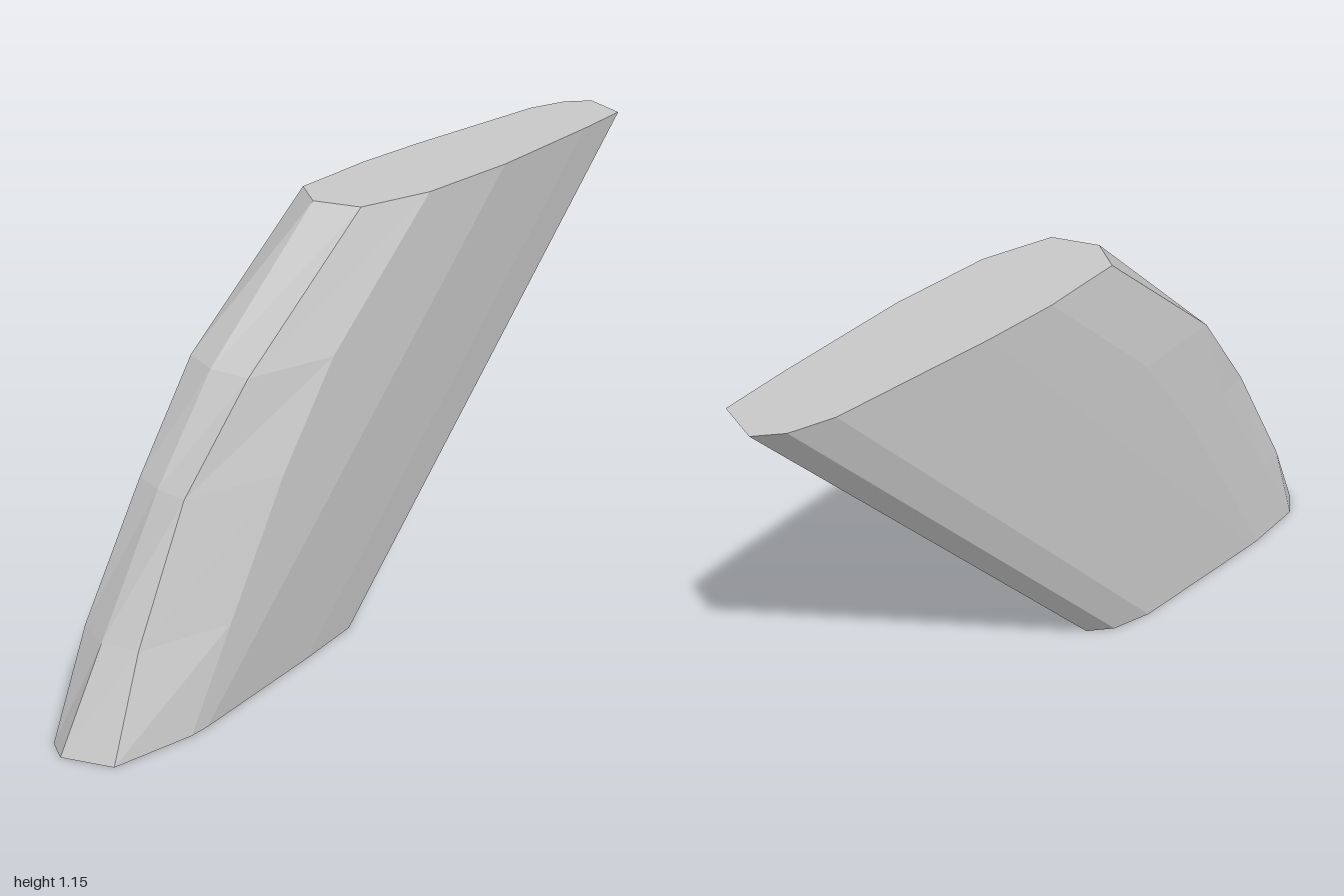
import * as THREE from 'three';

// Heights of the cross-sections, with the front crest's z at each
const levels = [0, 0.25, 0.58, 0.83, 1.155];
const crestZ = [1, 0.855, 0.66, 0.48, 0.13];

// Front seams on each side: x, and distance behind the crest
const leftSeam = [[0.098, 0.06], [0.07, 0.03], [0.06, 0.005], [0.08, 0.02], [0.09, 0.045]];
const rightSeam = [[-0.08, 0.025], [-0.115, 0.025], [-0.105, 0.015], [-0.12, 0.025], [-0.117, 0.06]];

// Rear outline [x, z] at the base, from the left flank round to the right;
// it slides straight back with height
const rear = [
  [0.137, 0.68], [0.102, 0.3], [0.08, 0.12],
  [-0.04, 0.08], [-0.09, 0.14], [-0.12, 0.25], [-0.138, 0.7],
];
const lean = 1.08 / 1.155;

// One closed cross-section, counter-clockwise from above
function section(i) {
  const y = levels[i], z = crestZ[i], t = y / 1.155;
  const [lx, ld] = leftSeam[i];
  const [rx, rd] = rightSeam[i];
  return [
    [-0.025, z],
    [lx, z - ld],
    [0.137, z - 0.27 + 0.03 * t],
    ...rear.map(([x, rz]) => [x, rz - y * lean]),
    [-0.138, z - 0.27 - 0.03 * t],
    [Math.min(-0.125, rx - 0.008), z - 0.09 - 0.07 * t],
    [rx, z - rd],
  ].map(([x, pz]) => [x, y, pz]);
}

// Skin the cross-sections and close both ends with fans
function loft(rings) {
  const n = rings[0].length, last = rings.length - 1;
  const positions = rings.flat(2);
  const index = [];
  for (let i = 0; i < last; i++) {
    for (let j = 0; j < n; j++) {
      const a = i * n + j, b = i * n + (j + 1) % n;
      index.push(a, b, b + n, a, b + n, a + n);
    }
  }
  for (let j = 1; j < n - 1; j++) {
    index.push(0, j + 1, j);
    index.push(last * n, last * n + j, last * n + j + 1);
  }
  const geometry = new THREE.BufferGeometry();
  geometry.setAttribute('position', new THREE.Float32BufferAttribute(positions, 3));
  geometry.setIndex(index);
  const faceted = geometry.toNonIndexed();
  faceted.computeVertexNormals();
  return faceted;
}

export function createModel() {
  const group = new THREE.Group();
  group.name = 'leaningSlab';
  const material = new THREE.MeshStandardMaterial({ color: 0xcccccc, flatShading: true });
  const body = new THREE.Mesh(loft(levels.map((_, i) => section(i))), material);
  body.name = 'slabBody';
  group.add(body);
  return group;
}
